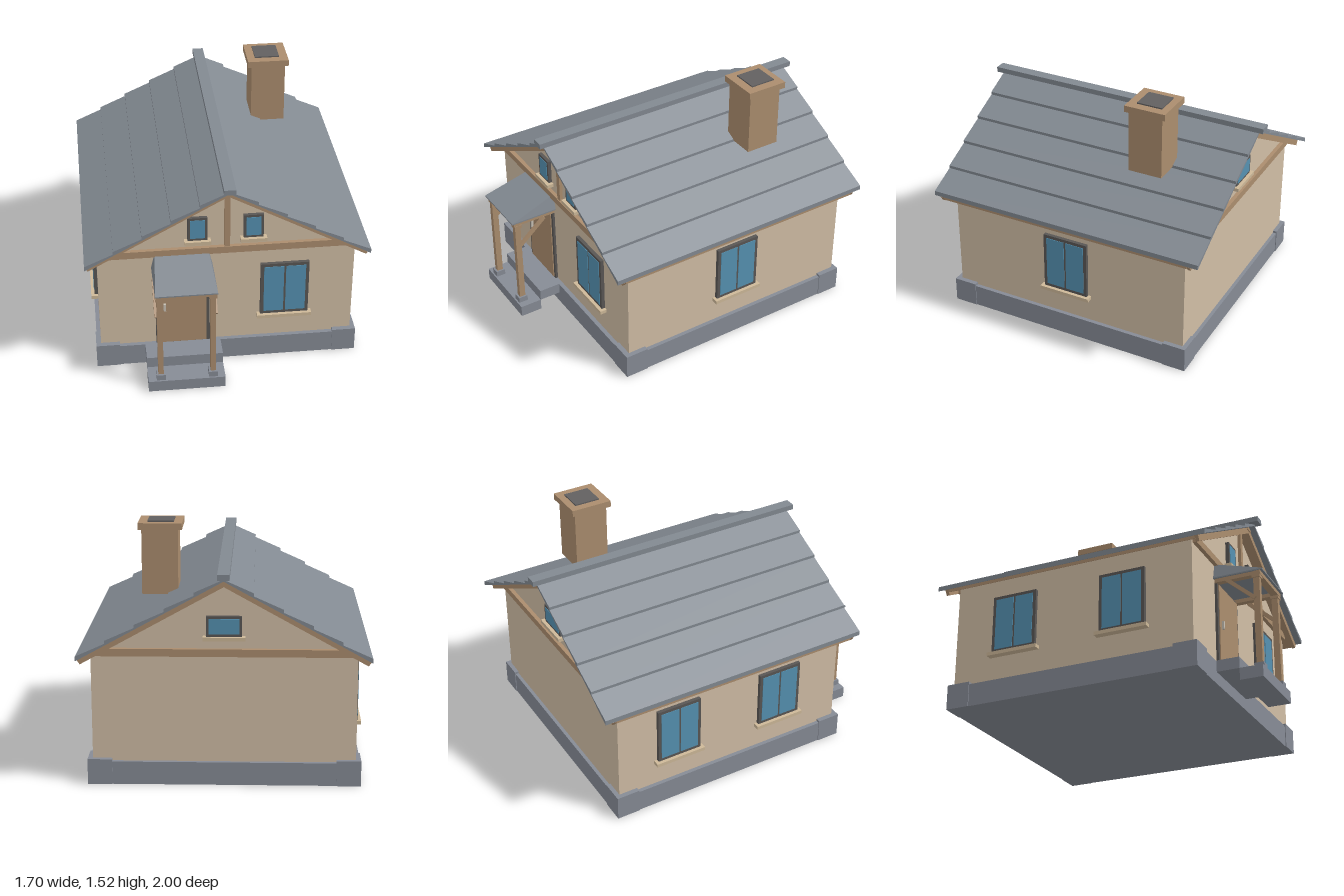
import * as THREE from 'three';
import { ConvexGeometry } from 'three/addons/geometries/ConvexGeometry.js';

const mat = (name, color) => {
  const m = new THREE.MeshStandardMaterial({ color });
  m.name = name;
  return m;
};

export function createModel() {
  const plaster = mat('plaster', 0xd0bda5);
  const wood = mat('wood', 0xab8d6e);
  const slate = mat('slate', 0x828991);
  const stone = mat('stone', 0x868b95);
  const frameGrey = mat('dark frame', 0x595654);
  const glass = mat('glass', 0x5591b1);
  const sillStone = mat('sill', 0xcdb898);
  const soot = mat('soot', 0x626060);
  const metal = mat('handle metal', 0xc9c2b6);

  const house = new THREE.Group();
  house.name = 'cottage';

  const add = (name, geometry, material, parent = house) => {
    const mesh = new THREE.Mesh(geometry, material);
    mesh.name = name;
    parent.add(mesh);
    return mesh;
  };
  // box given by its minimum and maximum on each axis
  const box = (name, material, x0, x1, y0, y1, z0, z1, parent = house) => {
    const mesh = add(name, new THREE.BoxGeometry(x1 - x0, y1 - y0, z1 - z0), material, parent);
    mesh.position.set((x0 + x1) / 2, (y0 + y1) / 2, (z0 + z1) / 2);
    return mesh;
  };
  // xy outline extruded from z0 to z1
  const prism = (name, material, points, z0, z1) => {
    const shape = new THREE.Shape(points.map(([x, y]) => new THREE.Vector2(x, y)));
    const geometry = new THREE.ExtrudeGeometry(shape, { depth: z1 - z0, bevelEnabled: false });
    geometry.translate(0, 0, z0);
    return add(name, geometry, material);
  };

  // plinth with raised corner stones
  box('plinth', stone, -0.8, 0.8, 0, 0.14, -0.877, 0.722);
  for (const s of [-1, 1]) {
    const [x0, x1] = s < 0 ? [-0.805, -0.66] : [0.66, 0.805];
    box('frontCornerStone', stone, x0, x1, 0, 0.155, 0.58, 0.727);
    box('backCornerStone', stone, x0, x1, 0, 0.155, -0.882, -0.735);
  }

  // walls with gables
  const deckY = (x) => 1.248 - 0.555 * x;
  prism('walls', plaster, [
    [-0.775, 0.14], [0.775, 0.14], [0.775, deckY(0.775) - 0.02],
    [0, 1.228], [-0.775, deckY(0.775) - 0.02],
  ], -0.855, 0.695);

  // roof: deck, barge boards and five overlapping courses on each side
  const slab = (name, material, x0, x1, low, high0, high1, z0, z1) => {
    for (const s of [-1, 1]) {
      prism(name, material, [
        [s * x0, deckY(x0) + low], [s * (x1 - (low < -0.03 ? 0.02 : 0)), deckY(x1) + low + (low < -0.03 ? 0.011 : 0)],
        [s * x1, deckY(x1) + high1], [s * x0, deckY(x0) + high0],
      ], z0, z1);
    }
  };
  slab('roofDeck', wood, 0, 0.845, -0.02, 0, 0, -0.895, 0.745);
  slab('frontBargeBoard', wood, 0, 0.85, -0.042, 0, 0, 0.743, 0.765);
  slab('backBargeBoard', wood, 0, 0.85, -0.042, 0, 0, -0.915, -0.895);
  for (let i = 0; i < 5; i++) {
    slab('roofCourse', slate, i * 0.17, (i + 1) * 0.17, 0.001, 0.012, 0.03, -0.965, 0.805);
  }
  box('ridgeCap', slate, -0.035, 0.035, 1.262, 1.295, -1, 0.84);
  box('ridgeBeam', wood, -0.03, 0.03, 1.222, 1.246, -0.918, 0.77);

  // gable timbers
  box('frontTieBeam', wood, -0.76, 0.76, 0.785, 0.83, 0.69, 0.72);
  box('backTieBeam', wood, -0.76, 0.76, 0.785, 0.83, -0.88, -0.85);
  box('kingPost', wood, -0.017, 0.017, 0.83, 1.22, 0.69, 0.715);

  // chimney
  box('chimneyStack', wood, 0.28, 0.495, 1.08, 1.475, -0.56, -0.345);
  box('chimneyCap', wood, 0.255, 0.515, 1.47, 1.51, -0.585, -0.325);
  box('chimneyFlue', soot, 0.305, 0.46, 1.508, 1.518, -0.54, -0.38);

  // window facing +z, placed on a wall and turned
  const addWindow = (name, w, h, panes, x, y, z, turn) => {
    const g = new THREE.Group();
    g.name = name;
    const b = w > 0.25 ? 0.02 : 0.015;
    box('windowFrame', frameGrey, -w / 2, w / 2, -h / 2, h / 2, -0.01, 0.022, g);
    const paneW = (w - 2 * b - (panes - 1) * 0.012) / panes;
    for (let i = 0; i < panes; i++) {
      const x0 = -w / 2 + b + i * (paneW + 0.012);
      box('pane', glass, x0, x0 + paneW, -h / 2 + b, h / 2 - b, 0.018, 0.025, g);
    }
    box('windowSill', sillStone, -w / 2 - 0.02, w / 2 + 0.02, -h / 2 - 0.022, -h / 2, -0.01, 0.043, g);
    g.position.set(x, y, z);
    g.rotation.y = turn;
    house.add(g);
  };
  addWindow('frontWindow', 0.295, 0.365, 2, 0.352, 0.4975, 0.695, 0);
  for (const s of [-1, 1]) addWindow('gableWindow', 0.118, 0.155, 1, s * 0.167 - 0.01, 0.9625, 0.695, 0);
  addWindow('leftWindow', 0.29, 0.365, 2, 0.775, 0.4975, -0.075, Math.PI / 2);
  for (const z of [-0.45, 0.26]) addWindow('rightWindow', 0.29, 0.365, 2, -0.775, 0.4975, z, -Math.PI / 2);
  addWindow('backGableWindow', 0.205, 0.12, 1, 0, 0.965, -0.855, Math.PI);

  // door
  const doorX = -0.27;
  box('doorFrame', frameGrey, doorX - 0.165, doorX + 0.165, 0.14, 0.68, 0.69, 0.71);
  box('door', wood, doorX - 0.145, doorX + 0.145, 0.145, 0.665, 0.7, 0.716);
  box('doorHandle', metal, -0.387, -0.372, 0.39, 0.44, 0.714, 0.73);

  // steps
  box('lowerStep', stone, -0.505, -0.04, 0, 0.073, 0.86, 1);
  box('upperStep', stone, -0.505, -0.04, 0.073, 0.143, 0.722, 0.86);

  // porch canopy on posts
  const corners = [];
  for (const s of [-1, 1]) {
    for (const [dx, y, z] of [[0.184, 0.692, 1], [0.184, 0.692, 0.695], [0.184, 0.7, 1], [0.184, 0.7, 0.695], [0.16, 0.798, 0.695]]) {
      corners.push(new THREE.Vector3(doorX + s * dx, y, z));
    }
  }
  add('canopyRoof', new ConvexGeometry(corners), slate);
  box('canopyFrontBeam', wood, -0.45, -0.09, 0.668, 0.692, 0.94, 0.985);
  for (const s of [-1, 1]) {
    const px = doorX + s * 0.158;
    box('canopySideBeam', wood, px - 0.018, px + 0.018, 0.668, 0.692, 0.7, 0.985);
    box('porchPost', wood, px - 0.016, px + 0.016, 0.1, 0.67, 0.94, 0.978);
    box('postCap', wood, px - 0.024, px + 0.024, 0.65, 0.67, 0.935, 0.983);
    box('postBase', stone, px - 0.027, px + 0.027, 0.073, 0.11, 0.93, 0.99);
    const brace = add('porchBrace', new THREE.BoxGeometry(0.018, 0.23, 0.022), wood);
    brace.position.set(doorX + s * 0.178, 0.593, 0.865);
    brace.rotation.x = -0.85;
  }

  return house;
}
